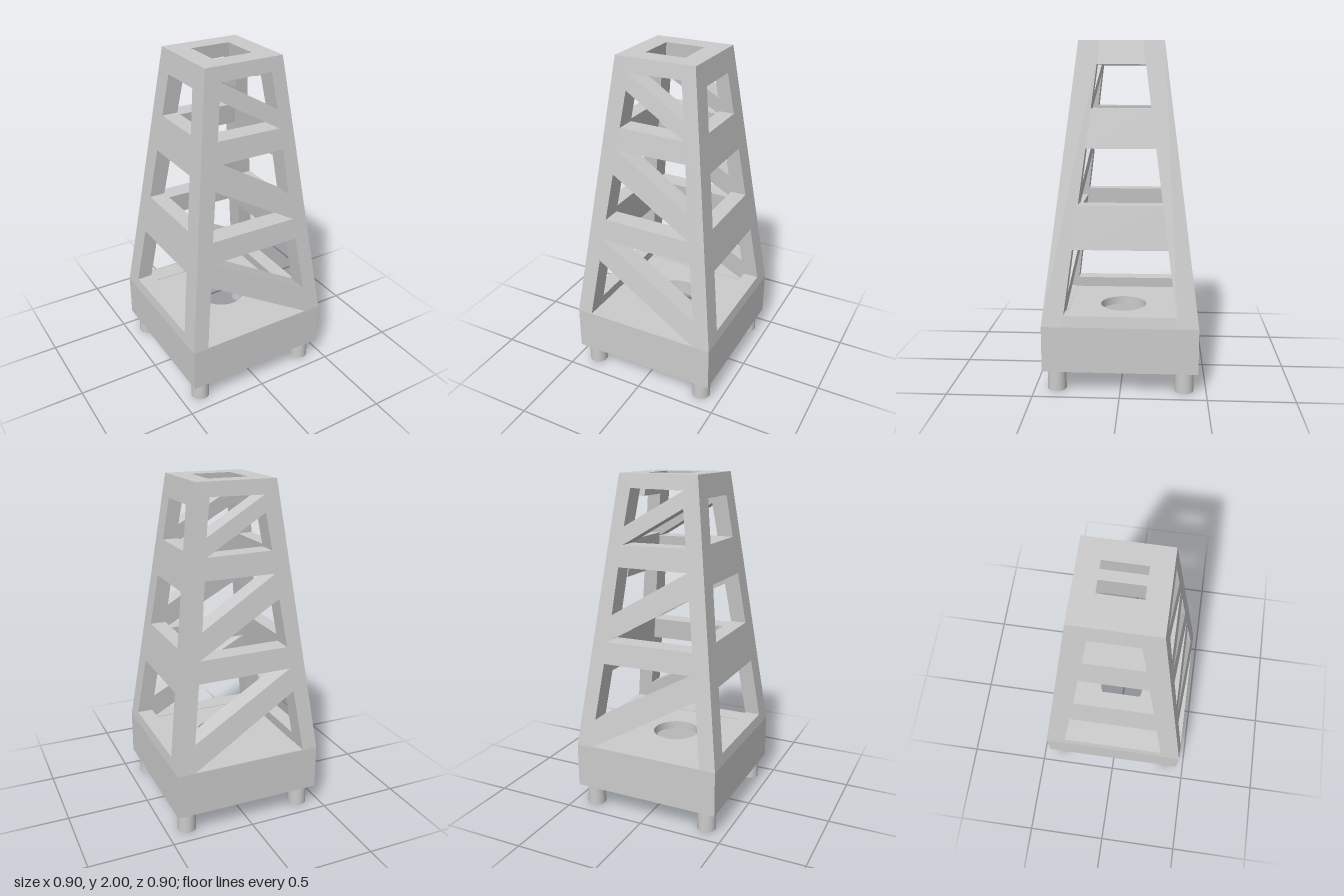
import * as THREE from 'three';

const BASE_Y = 0.4, TOP_Y = 2, WALL = 0.12;
const material = new THREE.MeshStandardMaterial({ color: 0xcccccc });

// Half width of the tapering tower at height y
const halfWidth = (y) => THREE.MathUtils.lerp(0.45, 0.24, (y - BASE_Y) / (TOP_Y - BASE_Y));

const polygon = (points) => new THREE.Shape(points.map(([x, y]) => new THREE.Vector2(x, y)));
const square = (h) => polygon([[-h, -h], [h, -h], [h, h], [-h, h]]);

function trapezoid(y0, y1, inset) {
  const a = halfWidth(y0) - inset, b = halfWidth(y1) - inset;
  return polygon([[-a, y0], [a, y0], [b, y1], [-b, y1]]);
}

// Extrude an upright outline and lean it along the taper, facing +z (side 1) or -z (side -1)
function leaningPanel(shape, thickness, side) {
  const geo = new THREE.ExtrudeGeometry(shape, { depth: thickness, bevelEnabled: false });
  const p = geo.attributes.position;
  for (let i = 0; i < p.count; i++) {
    const outer = halfWidth(p.getY(i));
    p.setZ(i, side > 0 ? p.getZ(i) + outer - thickness : p.getZ(i) - outer);
  }
  geo.computeVertexNormals();
  return geo;
}

// Extrude a floor plan upward from y0 to y1
function slab(shape, y0, y1) {
  const geo = new THREE.ExtrudeGeometry(shape, { depth: y1 - y0, bevelEnabled: false, curveSegments: 32 });
  return geo.rotateX(-Math.PI / 2).translate(0, y0, 0);
}

export function createModel() {
  const group = new THREE.Group();
  const add = (name, geo) => {
    const mesh = new THREE.Mesh(geo, material);
    mesh.name = name;
    group.add(mesh);
    return mesh;
  };

  // Front and back lattice walls: triangular openings leave the diagonal braces
  const openings = [
    [[-0.355, 0.403], [0.343, 0.403], [-0.305, 0.78]],
    [[-0.285, 0.92], [0.333, 0.57], [0.288, 0.915]],
    [[-0.27, 1.05], [0.275, 1.045], [-0.23, 1.335]],
    [[-0.21, 1.48], [0.25, 1.205], [0.22, 1.48]],
    [[-0.195, 1.61], [0.2, 1.605], [-0.165, 1.82]],
    [[-0.16, 1.915], [0.195, 1.71], [0.165, 1.92]],
  ];
  for (const [name, side] of [['frontLattice', 1], ['backLattice', -1]]) {
    const wall = trapezoid(BASE_Y, TOP_Y, 0);
    wall.holes = openings.map(polygon);
    add(name, leaningPanel(wall, WALL, side));
  }

  // Cross bands joining the lattices on the left and right sides
  const bands = [[0.4, 0.465, 0.095], [0.84, 1.09, 0.095], [1.405, 1.625, 0.095], [1.87, 2, WALL]];
  for (const [name, side] of [['leftBand', 1], ['rightBand', -1]]) {
    for (const [y0, y1, thickness] of bands) {
      add(name, leaningPanel(trapezoid(y0, y1, WALL), thickness, side).rotateY(Math.PI / 2));
    }
  }

  // Hollow base: rim open below, deck with a round hole
  const rim = square(0.45);
  rim.holes.push(square(0.365));
  add('baseRim', slab(rim, 0.13, 0.35));
  const deck = square(0.45);
  deck.holes.push(new THREE.Path().absarc(0, 0, 0.142, 0, Math.PI * 2, true));
  add('baseDeck', slab(deck, 0.35, BASE_Y));

  // Round feet running up into the base
  for (const x of [-0.372, 0.372]) {
    for (const z of [-0.372, 0.372]) {
      add('foot', new THREE.CylinderGeometry(0.055, 0.055, 0.35, 32)).position.set(x, 0.175, z);
    }
  }
  return group;
}
